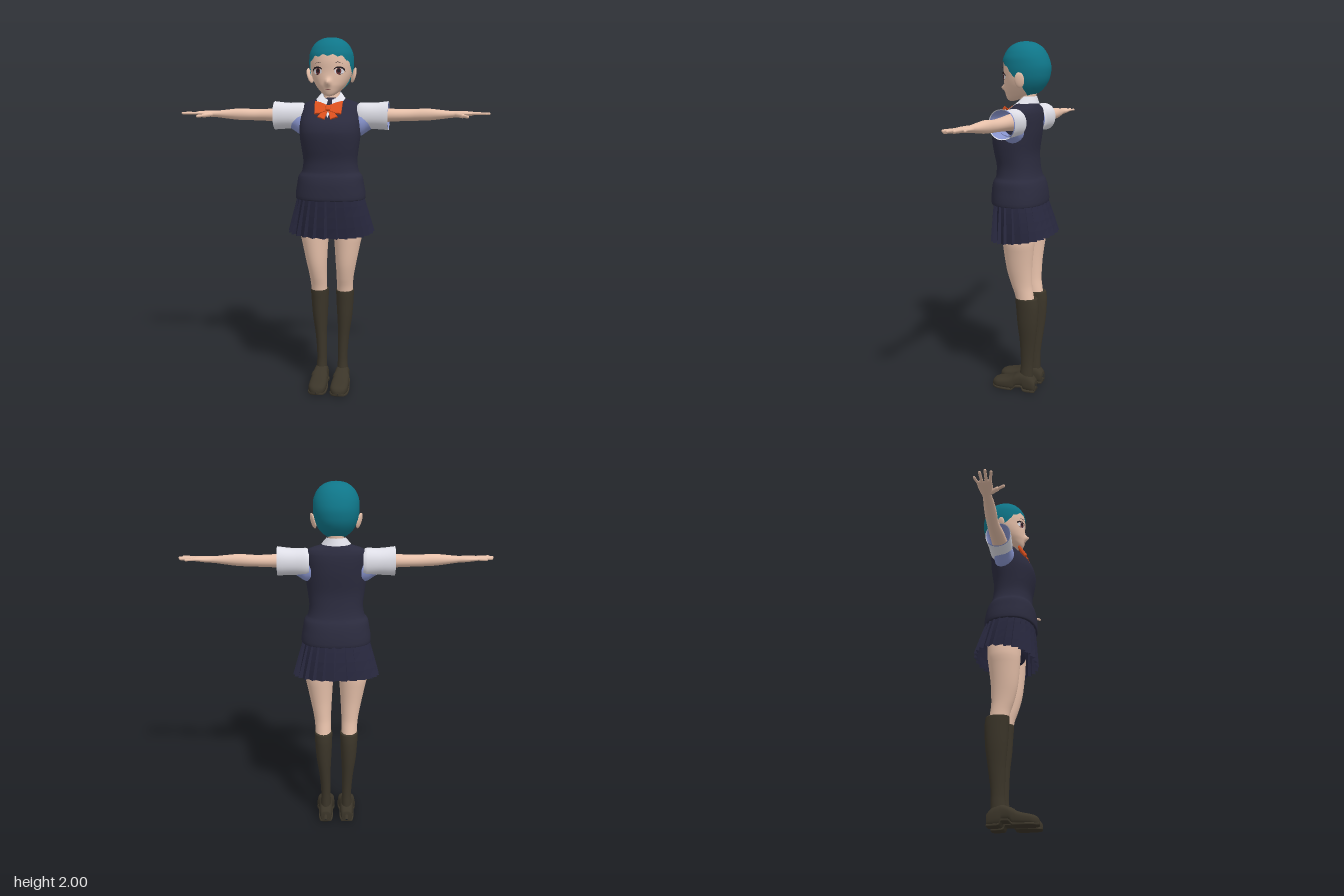
import * as THREE from 'three';
import { RoundedBoxGeometry } from 'three/addons/geometries/RoundedBoxGeometry.js';

const mat = (name, color, side = THREE.FrontSide) => {
  const m = new THREE.MeshStandardMaterial({ color, side });
  m.name = name;
  return m;
};

// Smooth, overshoot-free interpolation of table rows [t, ...values]
function sample(rows, t) {
  const last = rows.length - 1;
  let i = 0;
  while (i < last - 1 && t > rows[i + 1][0]) i++;
  const h = rows[i + 1][0] - rows[i][0];
  const u = Math.min(1, Math.max(0, (t - rows[i][0]) / h));
  const slope = (k, c) => (rows[k + 1][c] - rows[k][c]) / (rows[k + 1][0] - rows[k][0]);
  const tangent = (k, c) => {
    if (k === 0) return slope(0, c);
    if (k === last) return slope(last - 1, c);
    const a = slope(k - 1, c), b = slope(k, c);
    return a * b > 0 ? (2 * a * b) / (a + b) : 0;
  };
  return rows[i].slice(1).map((p, j) => {
    const c = j + 1, q = rows[i + 1][c], u2 = u * u, u3 = u2 * u;
    return (2 * u3 - 3 * u2 + 1) * p + (u3 - 2 * u2 + u) * h * tangent(i, c)
      + (3 * u2 - 2 * u3) * q + (u3 - u2) * h * tangent(i + 1, c);
  });
}

// Surface from fn(column, row); columns wrap when closed
function grid(fn, cols, rowCount, closed = true) {
  const pos = [], idx = [], n = closed ? cols : cols + 1;
  for (let j = 0; j <= rowCount; j++) for (let i = 0; i < n; i++) pos.push(...fn(i, j));
  for (let j = 0; j < rowCount; j++) for (let i = 0; i < cols; i++) {
    const a = j * n + i, b = j * n + (i + 1) % n;
    idx.push(a, b, b + n, a, b + n, a + n);
  }
  const g = new THREE.BufferGeometry();
  g.setAttribute('position', new THREE.Float32BufferAttribute(pos, 3));
  g.setIndex(idx);
  g.computeVertexNormals();
  return g;
}

const spow = (v, p) => Math.sign(v) * Math.abs(v) ** p;

// Point on a lofted section; rows hold [t, aMin, aMax, bMin, bMax]
function sectionPoint(rows, axis, th, t, p, pad = 0) {
  const [a0, a1, b0, b1] = sample(rows, t);
  const sa = axis === 'y' ? 1 : -1;
  const a = (a0 + a1) / 2 + sa * ((a1 - a0) / 2 + pad) * spow(Math.sin(th), p);
  const b = (b0 + b1) / 2 + ((b1 - b0) / 2 + pad) * spow(Math.cos(th), p);
  return axis === 'y' ? [a, t, b] : axis === 'x' ? [t, a, b] : [a, b, t];
}

function loft(rows, axis, { seg = 32, p = 1, sub = 3, pad = 0, bump } = {}) {
  const count = (rows.length - 1) * sub;
  return grid((i, j) => {
    const k = Math.min(Math.floor(j / sub), rows.length - 2);
    const t = rows[k][0] + (rows[k + 1][0] - rows[k][0]) * (j / sub - k);
    const v = sectionPoint(rows, axis, (i / seg) * Math.PI * 2, t, p, pad);
    if (bump) v[2] += bump(v[0], v[1], v[2]);
    return v;
  }, seg, count);
}

// Symmetric section row from half width, front z and back z
const sym = ([y, w, zf, zb]) => [y, -w, w, zb, zf];

function mirrored(geometry) {
  const g = geometry.index ? geometry.clone() : geometry.clone().setIndex([...Array(geometry.attributes.position.count).keys()]);
  g.scale(-1, 1, 1);
  const ix = g.index.array;
  for (let i = 0; i < ix.length; i += 3) [ix[i], ix[i + 1]] = [ix[i + 1], ix[i]];
  return g;
}

// Rounded rod between two points
function rod(a, b, r) {
  const p = new THREE.Vector3(...a), q = new THREE.Vector3(...b), d = q.clone().sub(p);
  const g = new THREE.CapsuleGeometry(r, d.length(), 4, 10);
  g.applyQuaternion(new THREE.Quaternion().setFromUnitVectors(new THREE.Vector3(0, 1, 0), d.normalize()));
  return g.translate(...p.add(q).multiplyScalar(0.5).toArray());
}

const polygon = (pts) => new THREE.Shape(pts.map(([x, y]) => new THREE.Vector2(x, y)));
const oval = (x, y, rx, ry) => new THREE.Shape().absellipse(x, y, rx, ry, 0, Math.PI * 2);

const HEAD = [[1.682, 0, .09, .07], [1.687, .022, .1, .05], [1.7, .042, .107, .01], [1.72, .064, .113, -.055],
  [1.745, .084, .117, -.088], [1.775, .1, .117, -.112], [1.81, .111, .116, -.128], [1.86, .117, .119, -.135],
  [1.9, .115, .116, -.126], [1.94, .101, .1, -.107], [1.965, .082, .08, -.086], [1.983, .055, .053, -.058],
  [1.991, .03, .027, -.032], [1.994, 0, -.002, -.003]].map(sym);
const HAIRLINE = [[0, 1.905], [.5, 1.9], [.95, 1.875], [1.3, 1.82], [1.6, 1.79], [1.9, 1.745], [2.4, 1.715], [3.15, 1.708]];
const VEST = [[1.118, .185, .168, -.11], [1.122, .195, .178, -.12], [1.14, .196, .18, -.122], [1.2, .187, .178, -.115],
  [1.245, .179, .169, -.102], [1.275, .158, .155, -.085], [1.33, .15, .152, -.073], [1.4, .158, .165, -.068],
  [1.48, .168, .176, -.078], [1.53, .169, .163, -.084], [1.58, .168, .124, -.086], [1.62, .164, .088, -.083],
  [1.645, .15, .064, -.075], [1.66, .115, .05, -.068], [1.675, .06, .035, -.06]].map(sym);
const SHOE = [[-.09, .055, .071, .01, .05], [-.087, .032, .094, 0, .07], [-.04, .023, .103, 0, .108], [-.02, .022, .104, .004, .113],
  [-.01, .022, .104, .024, .112], [.025, .02, .108, .022, .1], [.05, .016, .112, 0, .086], [.09, .012, .115, 0, .07],
  [.135, .013, .113, 0, .06], [.165, .025, .1, 0, .05], [.178, .045, .08, .004, .035], [.181, .06, .064, .01, .02]];
const noseBump = (x, y, z) => (z > 0 ? .026 * Math.exp(-((x / .014) ** 2) - ((y - 1.755) / .018) ** 2) : 0);

// Lay a flat shape on the front of a lofted body
function drape(shape, rows, p, lift) {
  const g = new THREE.ShapeGeometry(shape, 10), pos = g.attributes.position;
  for (let i = 0; i < pos.count; i++) {
    const x = pos.getX(i), y = pos.getY(i), [, w, zb, zf] = sample(rows, y);
    const s = Math.min(1, Math.abs(x) / w) ** (1 / p);
    pos.setZ(i, (zf + zb) / 2 + (zf - zb) / 2 * Math.sqrt(1 - s * s) ** p + lift);
  }
  g.computeVertexNormals();
  return g;
}

export function createModel() {
  const model = new THREE.Group();
  model.name = 'schoolUniformFigure';
  const D = THREE.DoubleSide;
  const skin = mat('skin', 0xecc5ae), hair = mat('tealHair', 0x0f7689, D), knit = mat('navyKnit', 0x2b2b3e),
    pleat = mat('navyPleat', 0x27273d, D), shirt = mat('whiteShirt', 0xe9e9f2, D), shade = mat('blueShirtShade', 0x8a96d0, D),
    orange = mat('orangeRibbon', 0xe2521f), brown = mat('darkBrownLegwear', 0x3b3529),
    dark = mat('lashBlack', 0x231c22, D), iris = mat('irisMaroon', 0x6b3436, D);
  const add = (name, geo, m, parent = model) => {
    const mesh = new THREE.Mesh(geo, m);
    mesh.name = name;
    parent.add(mesh);
    return mesh;
  };
  const pair = (name, geo, m, parent) => {
    add(name + 'Left', geo, m, parent);
    add(name + 'Right', mirrored(geo), m, parent);
  };

  // Head, cropped hair, ears and neck
  add('head', loft(HEAD, 'y', { seg: 72, p: .95, sub: 4, bump: noseBump }), skin);
  const cols = 120, hairRows = 24;
  add('hair', grid((i, j) => {
    const th = (i / cols) * Math.PI * 2, side = Math.min(th, Math.PI * 2 - th);
    const jag = side < 1.2 ? .012 * Math.abs(((i % 8) / 4) - 1) : 0;
    const low = sample(HAIRLINE, side)[0] - jag;
    const y = low + (1.994 - low) * Math.sin((j / hairRows) * Math.PI / 2);
    const v = sectionPoint(HEAD, 'y', th, y, .95, j === hairRows ? 0 : .006);
    v[1] += .006 * (j / hairRows) ** 2;
    return v;
  }, cols, hairRows), hair);
  const ear = new THREE.SphereGeometry(1, 16, 12).scale(.01, .042, .026).rotateY(.45).rotateZ(-.25).translate(.122, 1.797, -.012);
  pair('ear', ear, skin);
  add('neck', loft([[1.6, .065, .05, -.07], [1.65, .05, .034, -.062], [1.7, .044, .026, -.06], [1.76, .044, .03, -.07]].map(sym), 'y'), skin);

  // Face details
  const face = (shape, lift) => drape(shape, HEAD, .95, lift);
  pair('eyeWhite', face(oval(.058, 1.813, .024, .016), .004), shirt);
  pair('iris', face(oval(.056, 1.814, .013, .0175), .0055), iris);
  pair('pupil', face(oval(.056, 1.817, .008, .011), .0065), dark);
  pair('upperLash', face(polygon([[.03, 1.816], [.035, 1.824], [.047, 1.83], [.062, 1.831], [.077, 1.826], [.088, 1.814],
    [.087, 1.826], [.077, 1.836], [.06, 1.839], [.043, 1.836], [.033, 1.828]]), .0075), dark);
  pair('lowerLash', face(polygon([[.048, 1.797], [.062, 1.795], [.078, 1.803], [.062, 1.798]]), .0055), dark);
  pair('brow', face(polygon([[.03, 1.853], [.052, 1.861], [.082, 1.853], [.052, 1.864]]), .005), dark);
  add('mouth', face(polygon([[-.014, 1.719], [0, 1.716], [.014, 1.719], [0, 1.7205]]), .004), iris);

  // Knitted vest, collar and shirt front
  add('vest', loft(VEST, 'y', { seg: 48, p: .86 }), knit);
  add('collar', grid((i, j) => {
    const th = .22 + (i / 48) * (Math.PI * 2 - .44), t = j / 4, c = Math.cos(th), f = Math.max(0, c);
    const w = .08 - .03 * t, zf = .1 - .055 * t, zb = -.076 + .012 * t;
    const y = (1.672 - .055 * f ** 1.5) * (1 - t) + (1.71 - .045 * f) * t;
    return [w * Math.sin(th), y, (zf + zb) / 2 + (zf - zb) / 2 * c];
  }, 48, 4, false), shirt);
  add('shirtFront', drape(polygon([[-.025, 1.635], [0, 1.565], [.025, 1.635]]), VEST, .86, .008), shirt);

  // Ribbon bow
  const bow = new THREE.Group();
  bow.name = 'bow';
  bow.position.set(0, 1.615, .108);
  bow.rotation.x = -.55;
  model.add(bow);
  const cloth = (pts) => new THREE.ExtrudeGeometry(polygon(pts), { depth: .008, bevelSize: .003, bevelThickness: .004, bevelSegments: 2 });
  pair('bowLoop', cloth([[.004, -.012], [.04, -.028], [.07, -.032], [.074, .042], [.04, .032], [.004, .014]]), orange, bow);
  pair('bowTail', cloth([[.002, -.005], [.018, -.008], [.052, -.05], [.034, -.056], [.018, -.064]]).translate(0, 0, -.004), orange, bow);
  add('bowKnot', new RoundedBoxGeometry(.026, .032, .022, 3, .007).translate(0, 0, .008), orange, bow);

  // Pleated skirt with shorts beneath
  const SKIRT = [[0, .18, .166, -.112], [.5, .208, .168, -.142], [1, .234, .17, -.168]].map(sym);
  const pleats = 26;
  const skirt = grid((i, j) => {
    const t = 1 - j / 4, th = ((Math.floor(i / 2) + (i % 2 ? .84 : 0)) / pleats) * Math.PI * 2;
    const [x, , z] = sectionPoint(SKIRT, 'y', th, t, .9, (i % 2 ? .012 : -.01) * (.25 + .75 * t));
    return [x, 1.145 - t * (.216 + .05 * z / .17 * .35), z];
  }, pleats * 2, 4).toNonIndexed();
  skirt.computeVertexNormals();
  add('skirt', skirt, pleat);
  add('shorts', loft([[.9, .02, .02, -.02], [.915, .13, .07, -.08], [.97, .176, .11, -.1], [1.1, .17, .14, -.1]].map(sym), 'y'), pleat);

  // Legs, knee socks and loafers
  pair('leg', loft([[.54, .03, .12, -.085, .022], [.6, .03, .122, -.075, .034], [.66, .03, .128, -.068, .055], [.75, .026, .145, -.07, .078],
    [.85, .02, .165, -.08, .09], [.92, .014, .178, -.088, .096], [1.02, .01, .17, -.09, .1]], 'y'), skin);
  pair('sock', loft([[.05, .032, .094, -.07, .02], [.1, .032, .093, -.07, .01], [.16, .034, .09, -.07, .004], [.3, .034, .1, -.085, .008],
    [.42, .029, .117, -.1, .02], [.52, .024, .124, -.105, .027], [.57, .023, .126, -.1, .031], [.577, .024, .125, -.098, .031],
    [.578, .034, .115, -.085, .02]], 'y'), brown);
  pair('loafer', loft(SHOE, 'z', { p: .75 }), brown);
  const strap = [.035, .045, .06].map((z) => [z, ...sample(SHOE, z)]);
  pair('loaferStrap', loft(strap, 'z', { p: .75, pad: .004 }), brown);
  pair('loaferSole', loft(SHOE.map(([z, a, b, c]) => [z, a - .003, b + .003, c, c + .014]), 'z', { p: .4 }), brown);

  // Short sleeves with shaded lining and underarm
  const SLEEVE = [[.145, 1.51, 1.64, -.062, .06], [.165, 1.502, 1.65, -.066, .066], [.23, 1.505, 1.648, -.064, .073], [.318, 1.5, 1.657, -.066, .08]];
  pair('sleeve', loft(SLEEVE, 'x', { p: .93 }), shirt);
  pair('sleeveLining', loft(SLEEVE, 'x', { p: .93, pad: -.005 }), shade);
  pair('underarm', loft([[.135, 1.465, 1.6, -.045, .07], [.165, 1.468, 1.61, -.045, .074], [.2, 1.49, 1.61, -.045, .066], [.24, 1.515, 1.62, -.04, .06]], 'x'), shade);

  // Bare arms, palms, fingers and thumbs
  pair('arm', loft([[.16, 1.535, 1.63, -.045, .05], [.32, 1.545, 1.617, -.04, .042], [.43, 1.55, 1.613, -.036, .03], [.52, 1.552, 1.617, -.03, .036],
    [.6, 1.56, 1.61, -.02, .038], [.665, 1.568, 1.604, -.012, .036], [.7, 1.57, 1.604, -.018, .048], [.74, 1.575, 1.603, -.022, .056],
    [.77, 1.58, 1.6, -.022, .056], [.778, 1.587, 1.593, 0, .04]], 'x', { seg: 24 }), skin);
  const fingers = [[-.014, .808, -.026, .0065], [.006, .842, .008, .0075], [.027, .852, .038, .0075], [.046, .836, .066, .0075]];
  fingers.forEach(([z0, x1, z1, r], k) => pair('finger' + (k + 1), rod([.755, 1.59, z0], [x1, 1.59, z1], r), skin));
  pair('thumbBase', rod([.685, 1.583, .032], [.715, 1.578, .075], .012), skin);
  pair('thumb', rod([.712, 1.578, .072], [.738, 1.574, .112], .008), skin);

  return model;
}
